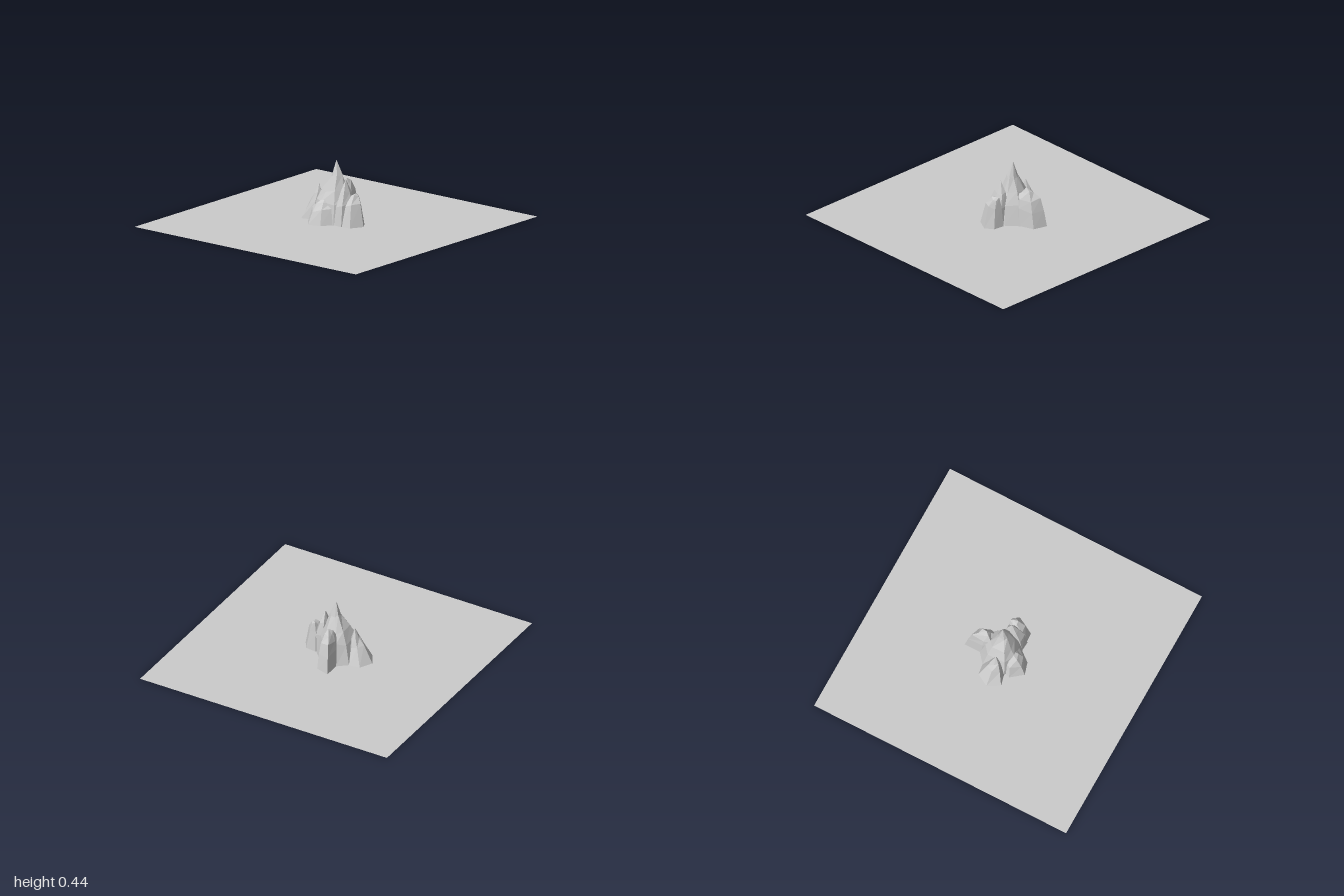
import * as THREE from 'three';

const material = new THREE.MeshStandardMaterial({ color: 0xcccccc, flatShading: true, side: THREE.DoubleSide });

// Faceted crag: a base outline (x, z; right, back, left, front) lofted through levels
// [height, scale, centre x, centre z] up to a single tip [x, y, z].
function crag(name, outline, levels, tip) {
  const n = outline.length;
  const mx = outline.reduce((s, p) => s + p[0], 0) / n;
  const mz = outline.reduce((s, p) => s + p[1], 0) / n;
  const positions = [];
  const index = [];
  const rings = [[0, 1, mx, mz], ...levels];
  rings.forEach(([y, s, cx, cz], r) => {
    outline.forEach(([x, z], i) => {
      // uneven ledges above the ground
      const lift = r === 0 ? 0 : 0.012 * Math.sin(i * 2.3 + r * 1.7);
      positions.push(cx + (x - mx) * s, y + lift, cz + (z - mz) * s);
    });
  });
  positions.push(...tip);
  for (let r = 0; r < rings.length; r++) {
    for (let i = 0; i < n; i++) {
      const a = r * n + i;
      const b = r * n + (i + 1) % n;
      if (r === rings.length - 1) index.push(a, b, rings.length * n);
      else index.push(a, b, b + n, a, b + n, a + n);
    }
  }
  const geometry = new THREE.BufferGeometry();
  geometry.setAttribute('position', new THREE.Float32BufferAttribute(positions, 3));
  geometry.setIndex(index);
  const flat = geometry.toNonIndexed();
  flat.computeVertexNormals();
  const mesh = new THREE.Mesh(flat, material);
  mesh.name = name;
  return mesh;
}

export function createModel() {
  const group = new THREE.Group();
  group.name = 'rockOnGround';

  // Flat square ground sheet
  const ground = new THREE.Mesh(new THREE.PlaneGeometry(2, 2).rotateX(-Math.PI / 2), material);
  ground.name = 'groundSheet';
  group.add(ground);

  const rock = new THREE.Group();
  rock.name = 'rock';
  group.add(rock);

  // Tall central spire
  rock.add(crag('centralSpire',
    [[0.12, -0.02], [0.11, -0.08], [0.03, -0.17], [-0.1, -0.17], [-0.17, -0.11], [-0.17, 0.06], [-0.08, 0.11], [0.05, 0.09]],
    [[0.15, 0.8, -0.02, -0.03], [0.23, 0.56, -0.02, -0.03], [0.33, 0.25, -0.01, -0.03]],
    [-0.02, 0.44, -0.03]));

  // Pointed crag on the -x side
  rock.add(crag('leaningCrag',
    [[-0.11, -0.03], [-0.17, -0.11], [-0.25, -0.1], [-0.3, -0.01], [-0.25, 0.08], [-0.17, 0.06]],
    [[0.12, 0.55, -0.18, -0.01], [0.18, 0.3, -0.165, -0.01]],
    [-0.16, 0.25, -0.01]));

  // Double crag on the +x side: pointed tip and lower shoulder
  rock.add(crag('pointedCrag',
    [[0.15, 0], [0.13, -0.07], [0.06, -0.07], [0.03, 0], [0.05, 0.085], [0.12, 0.09]],
    [[0.14, 0.85, 0.09, 0.0], [0.23, 0.5, 0.085, -0.01]],
    [0.08, 0.32, -0.01]));
  rock.add(crag('shoulderCrag',
    [[0.24, -0.01], [0.2, -0.07], [0.12, -0.08], [0.08, 0], [0.11, 0.085], [0.19, 0.08]],
    [[0.15, 0.68, 0.15, -0.01], [0.21, 0.32, 0.15, -0.03]],
    [0.15, 0.225, -0.04]));

  // Blunt crag at the back
  rock.add(crag('backCrag',
    [[0.04, -0.15], [0, -0.26], [-0.1, -0.29], [-0.1, -0.16], [-0.08, -0.08], [0.02, -0.08]],
    [[0.12, 0.88, -0.035, -0.162], [0.2, 0.72, -0.035, -0.158], [0.25, 0.35, -0.035, -0.16]],
    [-0.03, 0.28, -0.155]));

  // Low rounded buttress at the front
  rock.add(crag('frontButtress',
    [[0.05, 0.085], [0.03, 0.01], [-0.13, 0], [-0.17, 0.1], [-0.1, 0.187], [-0.01, 0.16]],
    [[0.1, 0.73, -0.055, 0.082], [0.145, 0.5, -0.055, 0.065]],
    [-0.05, 0.19, 0.04]));

  return group;
}
